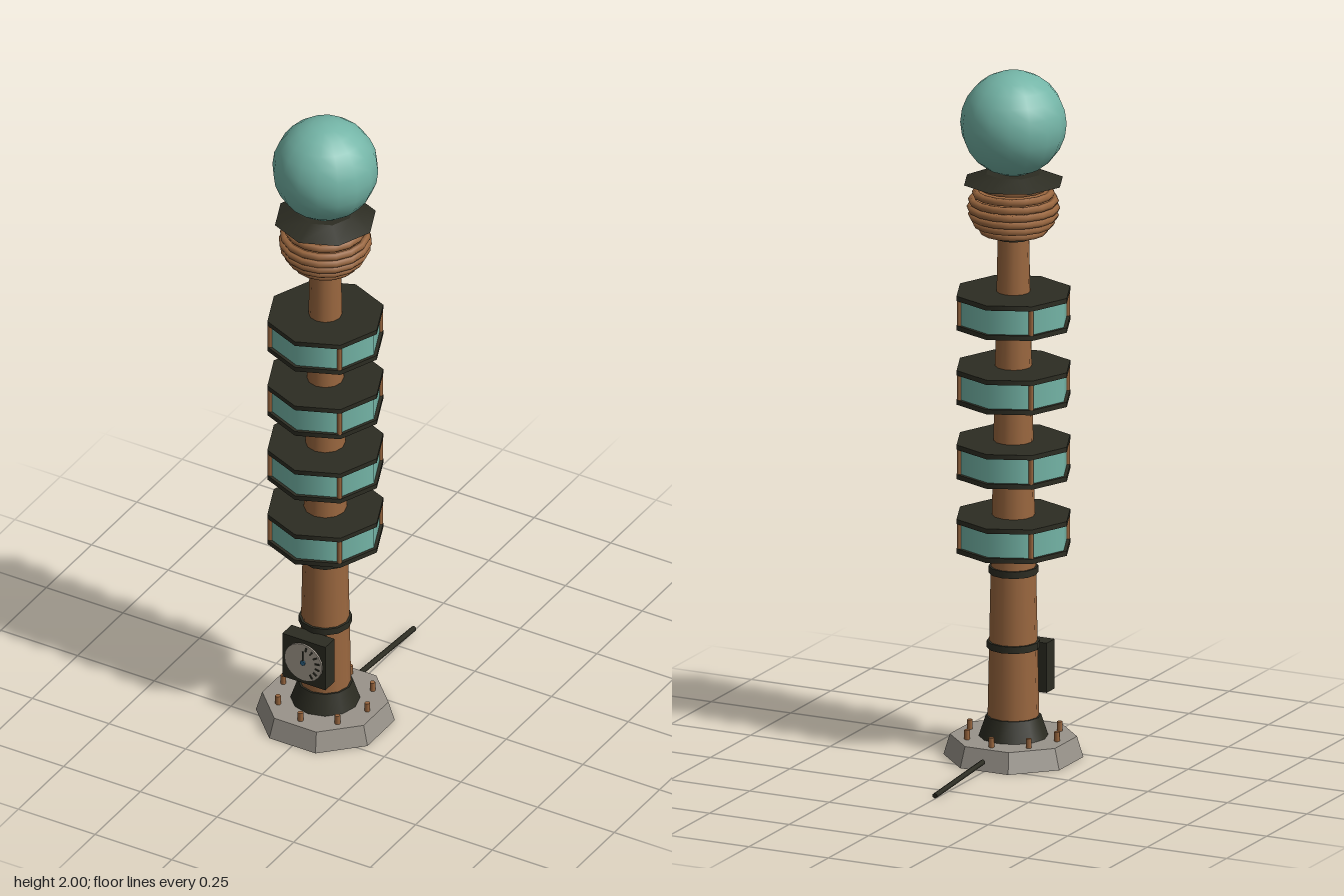
import * as THREE from 'three';

const mat = (name, color, opts = {}) => {
  const m = new THREE.MeshStandardMaterial({ color, ...opts });
  m.name = name;
  return m;
};

export function createModel() {
  const copper = mat('copper', 0x9a673f);
  const iron = mat('dark iron', 0x2c2c22);
  const glass = mat('teal glass', 0x74b5a7);
  const stone = mat('stone', 0x99938a, { flatShading: true });
  const face = mat('dial face', 0xa89f92);
  const blue = mat('needle blue', 0x2f6688);

  const model = new THREE.Group();
  model.name = 'beaconTower';
  const tower = new THREE.Group();
  tower.name = 'tower';
  tower.position.z = 0.152;
  model.add(tower);

  const add = (name, geo, material, x = 0, y = 0, z = 0, parent = tower) => {
    const mesh = new THREE.Mesh(geo, material);
    mesh.name = name;
    mesh.position.set(x, y, z);
    parent.add(mesh);
    return mesh;
  };
  // Round or polygonal section between two heights
  const drum = (name, rTop, rBottom, y0, y1, sides, material, parent = tower) =>
    add(name, new THREE.CylinderGeometry(rTop, rBottom, y1 - y0, sides), material, 0, (y0 + y1) / 2, 0, parent);

  // Octagonal plinth with bolts
  drum('plinth', 0.179, 0.197, 0, 0.06, 8, stone).rotation.y = Math.PI / 8;
  for (let i = 0; i < 8; i++) {
    const a = (i * Math.PI) / 4;
    add('bolt', new THREE.CylinderGeometry(0.008, 0.008, 0.035, 6), copper,
      0.137 * Math.sin(a), 0.07, 0.137 * Math.cos(a));
  }
  drum('foot', 0.078, 0.098, 0.06, 0.12, 12, iron);

  // Tapered column and its bands
  drum('column', 0.044, 0.073, 0.1, 1.53, 12, copper);
  drum('lowerBand', 0.075, 0.075, 0.318, 0.338, 12, iron);
  drum('upperBand', 0.07, 0.07, 0.536, 0.556, 12, iron);
  drum('neckBand', 0.052, 0.052, 1.515, 1.532, 12, iron);

  // Four glazed drums between dark flanges
  for (let i = 0; i < 4; i++) {
    const y = 0.656 + i * 0.2175;
    const stage = new THREE.Group();
    stage.name = 'glassStage';
    stage.position.y = y;
    tower.add(stage);
    drum('glassDrum', 0.158, 0.158, -0.038, 0.038, 8, glass, stage);
    drum('lowerFlange', 0.168, 0.168, -0.05, -0.036, 8, iron, stage);
    drum('upperFlange', 0.168, 0.168, 0.036, 0.05, 8, iron, stage);
    for (let k = 0; k < 4; k++) {
      const a = Math.PI / 4 + (k * Math.PI) / 2;
      add('post', new THREE.CylinderGeometry(0.007, 0.007, 0.08, 6), copper,
        0.16 * Math.sin(a), 0, 0.16 * Math.cos(a), stage);
    }
  }

  // Barrel-shaped coil
  drum('coilCore', 0.06, 0.055, 1.53, 1.69, 12, iron);
  for (let i = 0; i < 7; i++) {
    const t = (i - 3) / 3;
    const ring = add('coilRing', new THREE.TorusGeometry(0.121 - 0.033 * t * t, 0.011, 6, 16), copper,
      0, 1.54 + i * 0.0213, 0);
    ring.rotation.x = Math.PI / 2;
    drum('coilDisc', 0.112 - 0.03 * t * t, 0.112 - 0.03 * t * t,
      1.535 + i * 0.0213, 1.545 + i * 0.0213, 16, copper);
  }

  // Collar and globe
  drum('collar', 0.08, 0.146, 1.68, 1.707, 8, iron);
  add('globe', new THREE.SphereGeometry(0.15, 16, 12), glass, 0, 1.85, 0);

  // Gauge on the front
  const gauge = new THREE.Group();
  gauge.name = 'gauge';
  gauge.position.set(0, 0.247, 0.093);
  tower.add(gauge);
  add('gaugeBox', new THREE.BoxGeometry(0.14, 0.145, 0.05), iron, 0, 0, 0, gauge);
  const dial = add('dial', new THREE.CylinderGeometry(0.061, 0.061, 0.006, 20), face, 0, 0, 0.027, gauge);
  dial.rotation.x = Math.PI / 2;
  for (let i = 0; i < 7; i++) {
    const a = ((i - 2.5) * Math.PI) / 8;
    const tick = add('tick', new THREE.BoxGeometry(0.014, 0.005, 0.003), iron,
      0.047 * Math.cos(a), 0.047 * Math.sin(a), 0.031, gauge);
    tick.rotation.z = a;
  }
  add('needle', new THREE.BoxGeometry(0.004, 0.045, 0.003), iron, 0, 0.015, 0.031, gauge);
  const hub = add('hub', new THREE.CylinderGeometry(0.008, 0.008, 0.005, 8), blue, 0, 0, 0.032, gauge);
  hub.rotation.x = Math.PI / 2;

  // Cable running out behind the plinth
  const from = new THREE.Vector3(0, 0.03, -0.038);
  const to = new THREE.Vector3(0, 0.009, -0.337);
  const mid = from.clone().add(to).multiplyScalar(0.5);
  const cable = add('cable', new THREE.CylinderGeometry(0.008, 0.008, from.distanceTo(to), 6), iron,
    mid.x, mid.y, mid.z, model);
  cable.quaternion.setFromUnitVectors(new THREE.Vector3(0, 1, 0), to.clone().sub(from).normalize());

  return model;
}
